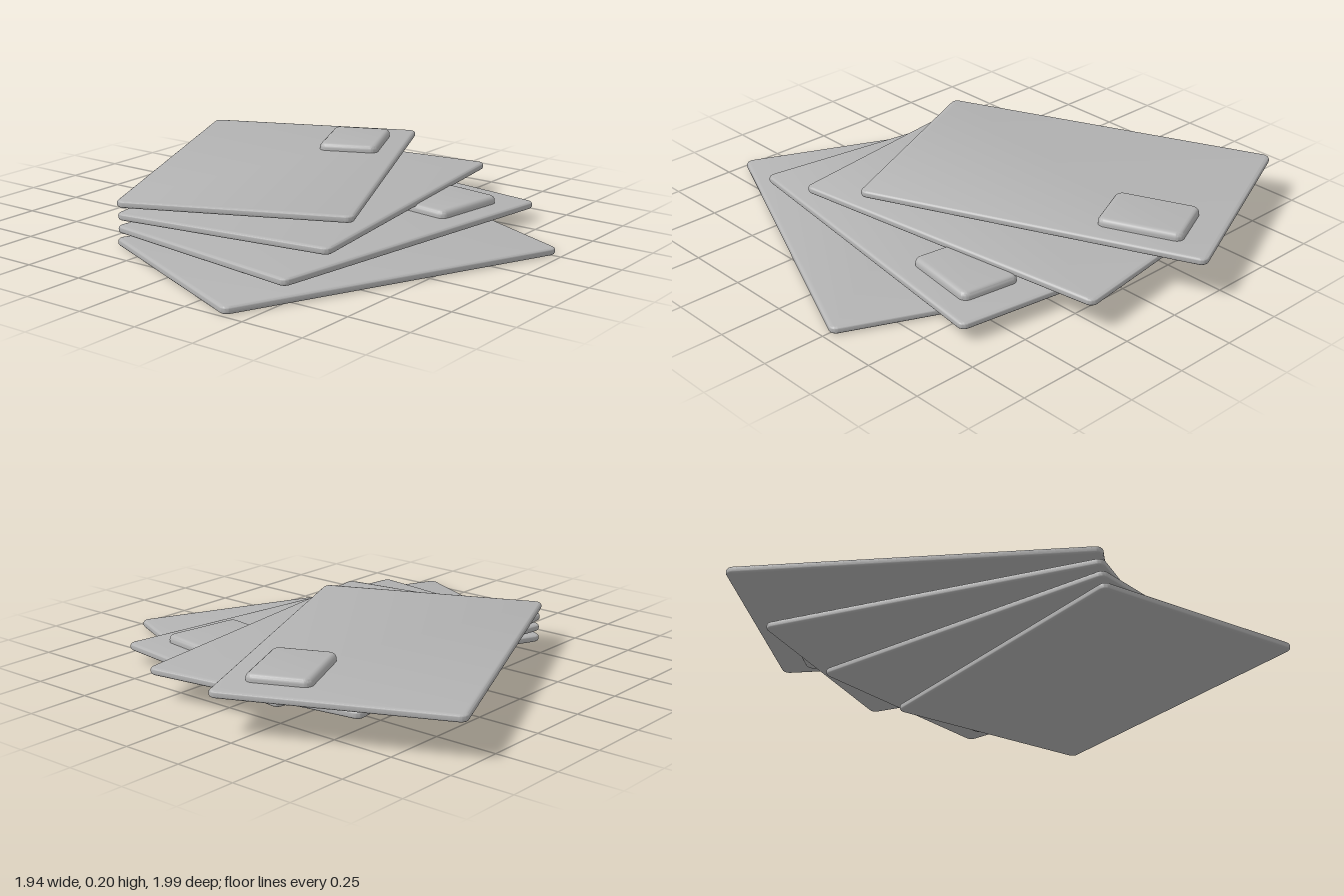
import * as THREE from 'three';
import { toCreasedNormals } from 'three/addons/utils/BufferGeometryUtils.js';

const CARD = { width: 0.915, length: 1.385, thickness: 0.028, radius: 0.03, bevel: 0.012 };
const TILE = { width: 0.247, length: 0.332, thickness: 0.088, radius: 0.032, bevel: 0.02 };

// Rounded slab lying flat, centred at its own origin, with softened edges
function slabGeometry({ width, length, thickness, radius, bevel }) {
  const x = width / 2 - bevel, y = length / 2 - bevel, r = radius - bevel;
  const s = new THREE.Shape();
  s.absarc(x - r, y - r, r, 0, Math.PI / 2);
  s.absarc(-x + r, y - r, r, Math.PI / 2, Math.PI);
  s.absarc(-x + r, -y + r, r, Math.PI, Math.PI * 1.5);
  s.absarc(x - r, -y + r, r, Math.PI * 1.5, Math.PI * 2);
  const geo = new THREE.ExtrudeGeometry(s, {
    depth: thickness - 2 * bevel, bevelEnabled: true, bevelSize: bevel,
    bevelThickness: bevel, bevelSegments: 4, curveSegments: 5,
  });
  geo.translate(0, 0, -(thickness / 2 - bevel));
  geo.rotateX(-Math.PI / 2);
  return toCreasedNormals(geo, 0.7);
}

export function createModel() {
  const model = new THREE.Group();
  model.name = 'cardFan';
  const grey = new THREE.MeshStandardMaterial({ color: 0xb3b3b3 });
  grey.name = 'grey';
  const cardGeo = slabGeometry(CARD), tileGeo = slabGeometry(TILE);

  // Four stacked cards fanned about their shared front corner
  for (let i = 0; i < 4; i++) {
    const holder = new THREE.Group();
    holder.name = `fannedCard${i + 1}`;
    holder.position.set(-0.42, 0.014 + i * 0.0473, 0.625);
    holder.rotation.y = THREE.MathUtils.degToRad(-24 + i * 16);

    const card = new THREE.Mesh(cardGeo, grey);
    card.name = 'card';
    card.position.set(CARD.width / 2, 0, -CARD.length / 2);
    holder.add(card);

    // Every second card carries a thick tile through its far corner
    if (i % 2 === 1) {
      const tile = new THREE.Mesh(tileGeo, grey);
      tile.name = 'cornerTile';
      tile.position.set(0.7, 0, -1.098);
      holder.add(tile);
    }
    model.add(holder);
  }
  return model;
}
